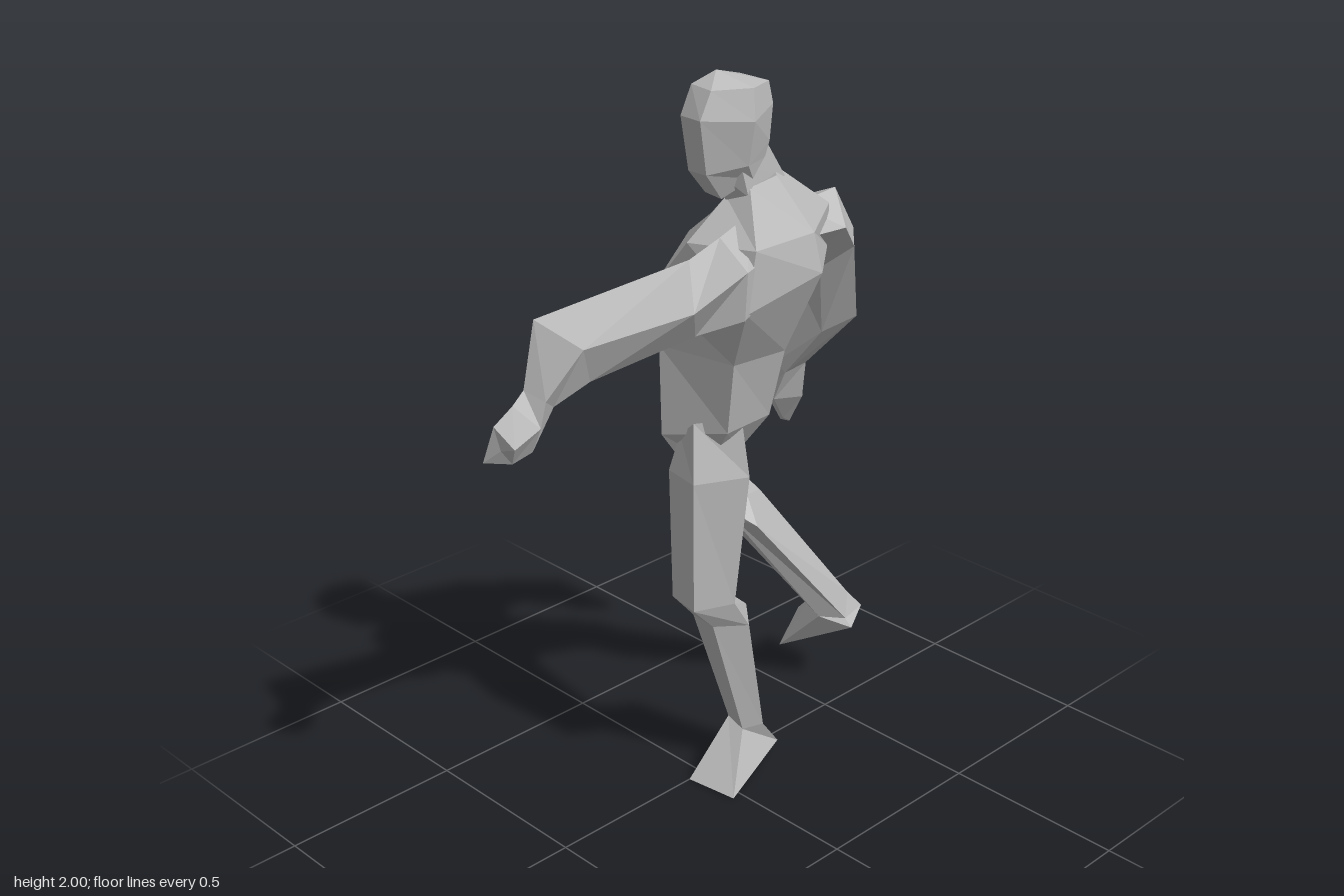
import * as THREE from 'three';

const grey = new THREE.MeshStandardMaterial({ color: 0xb8b8b8, flatShading: true });
grey.name = 'clay grey';

// Skin a stack of matching cross-sections, closed by fans at both ends.
function loft(name, rings, apex) {
  const tris = [];
  const n = rings[0].length;
  const centre = (r) => [0, 1, 2].map((k) => r.reduce((s, p) => s + p[k], 0) / n);
  for (let i = 0; i < rings.length - 1; i++) {
    for (let j = 0; j < n; j++) {
      const k = (j + 1) % n;
      const [a, b, c, d] = [rings[i][j], rings[i][k], rings[i + 1][k], rings[i + 1][j]];
      tris.push([a, b, c], [a, c, d]);
    }
  }
  const first = rings[0], last = rings[rings.length - 1];
  const start = centre(first), end = apex || centre(last);
  for (let j = 0; j < n; j++) {
    const k = (j + 1) % n;
    tris.push([first[k], first[j], start], [last[j], last[k], end]);
  }
  // Turn the faces outward if the sections run the other way round
  const v = (p) => new THREE.Vector3(p[0] - start[0], p[1] - start[1], p[2] - start[2]);
  const volume = tris.reduce((s, [a, b, c]) => s + v(a).dot(v(b).cross(v(c))), 0);
  if (volume < 0) tris.forEach((t) => t.reverse());

  const geometry = new THREE.BufferGeometry();
  geometry.setAttribute('position', new THREE.Float32BufferAttribute(tris.flat(2), 3));
  geometry.computeVertexNormals();
  const mesh = new THREE.Mesh(geometry, grey);
  mesh.name = name;
  return mesh;
}

export function createModel() {
  const model = new THREE.Group();
  model.name = 'walkingFigure';

  // Torso: left, front left, front right, right, back right, back left
  model.add(loft('torso', [
    [[.05, .97, .02], [-.01, .96, .06], [-.08, .96, -.02], [-.08, .97, -.1], [-.02, .96, -.12], [.05, .97, -.08]],
    [[.13, 1.08, .04], [-.03, 1.05, .115], [-.185, 1.09, -.08], [-.15, 1.08, -.2], [-.02, 1.08, -.23], [.12, 1.08, -.12]],
    [[.17, 1.28, .06], [-.02, 1.3, .13], [-.155, 1.3, -.085], [-.12, 1.3, -.19], [.02, 1.3, -.235], [.17, 1.27, -.12]],
    [[.28, 1.46, .13], [-.01, 1.46, .16], [-.13, 1.52, -.08], [-.05, 1.5, -.27], [.15, 1.5, -.29], [.28, 1.5, -.13]],
    [[.28, 1.61, .1], [.1, 1.6, .15], [-.02, 1.6, -.05], [.03, 1.63, -.27], [.17, 1.62, -.27], [.26, 1.6, -.12]],
    [[.17, 1.72, .01], [.11, 1.69, .03], [.06, 1.68, -.04], [.06, 1.7, -.13], [.12, 1.74, -.12], [.18, 1.735, -.07]],
  ]));

  model.add(loft('neck', [
    [[.175, 1.7, .02], [.115, 1.67, .03], [.055, 1.68, -.04], [.075, 1.71, -.13], [.16, 1.72, -.12]],
    [[.17, 1.78, .04], [.115, 1.76, .07], [.06, 1.77, .02], [.075, 1.83, -.05], [.155, 1.83, -.05]],
  ]));

  // Head: front left, front right, right, back right, back left, left
  model.add(loft('head', [
    [[.13, 1.695, .065], [.075, 1.7, .065], [.06, 1.73, 0], [.08, 1.78, -.05], [.16, 1.78, -.05], [.17, 1.74, 0]],
    [[.135, 1.765, .12], [.075, 1.765, .12], [.03, 1.775, .03], [.07, 1.82, -.06], [.165, 1.82, -.06], [.185, 1.78, .03]],
    [[.14, 1.9, .145], [.07, 1.9, .14], [.02, 1.91, .04], [.055, 1.91, -.06], [.17, 1.91, -.065], [.205, 1.89, .03]],
    [[.14, 1.965, .11], [.075, 1.97, .11], [.04, 1.965, .03], [.07, 1.965, -.055], [.165, 1.965, -.055], [.19, 1.965, .02]],
  ], [.106, 2, .06]));

  // Left arm reaches forward: top, outer, bottom, inner
  const leftWrist = [[0, 1.32, .58], [.055, 1.3, .56], [.035, 1.27, .52], [-.025, 1.29, .54]];
  model.add(loft('leftArm', [
    [[.18, 1.66, .02], [.25, 1.58, 0], [.25, 1.47, .03], [.09, 1.48, .05]],
    [[.19, 1.63, .13], [.29, 1.57, .137], [.285, 1.45, .14], [.07, 1.48, .14]],
    [[.17, 1.59, .21], [.245, 1.49, .266], [.2, 1.41, .22], [.1, 1.48, .237]],
    [[-.01, 1.48, .535], [.1, 1.42, .48], [.08, 1.325, .445], [-.03, 1.38, .5]],
    leftWrist,
  ]));
  model.add(loft('leftHand', [
    leftWrist,
    [[0, 1.29, .615], [.058, 1.24, .58], [.025, 1.17, .58], [-.058, 1.2, .594]],
    [[-.01, 1.25, .665], [.04, 1.2, .645], [.01, 1.15, .63], [-.043, 1.15, .675]],
  ]));

  // Right arm swings back: front, outer, back, inner
  const rightWrist = [[-.13, 1.07, -.41], [-.12, 1.1, -.46], [-.07, 1.07, -.46], [-.09, 1.05, -.4]];
  model.add(loft('rightArm', [
    [[.02, 1.56, -.16], [.12, 1.62, -.2], [.22, 1.57, -.18], [.13, 1.49, -.19]],
    [[-.01, 1.58, -.28], [.13, 1.637, -.335], [.21, 1.56, -.29], [.13, 1.48, -.27]],
    [[-.02, 1.46, -.37], [.12, 1.51, -.42], [.165, 1.48, -.375], [.1, 1.42, -.32]],
    [[-.08, 1.26, -.46], [-.02, 1.3, -.5], [.067, 1.23, -.505], [.03, 1.2, -.41]],
    rightWrist,
  ]));
  model.add(loft('rightHand', [
    rightWrist,
    [[-.195, .96, -.43], [-.12, .945, -.505], [-.09, .96, -.47], [-.13, .96, -.4]],
    [[-.165, .87, -.465], [-.15, .865, -.48], [-.14, .87, -.475], [-.15, .88, -.46]],
  ]));

  // Standing left leg: front inner, front outer, back outer, back inner
  const leftAnkle = [[-.01, .13, -.11], [.055, .12, -.1], [.075, .12, -.16], [.015, .13, -.18]];
  model.add(loft('leftLeg', [
    [[0, 1.05, .08], [.06, 1.1, .09], [.12, 1.1, -.02], [.04, 1.06, -.09]],
    [[-.02, .95, .1], [.09, .95, .12], [.14, .94, -.03], [.02, .96, -.1]],
    [[-.02, .58, .09], [.08, .58, .11], [.11, .57, -.01], [.02, .58, -.035]],
    [[-.015, .5, .02], [.07, .5, .03], [.105, .48, -.07], [.03, .49, -.135]],
    leftAnkle,
  ]));
  model.add(loft('leftFoot', [
    leftAnkle,
    [[0, 0, .05], [.15, 0, .03], [.07, .035, -.225], [-.025, .045, -.23]],
  ]));

  // Trailing right leg, in the same order, with the knee bent over two sections
  const rightAnkle = [[-.13, .28, -.57], [-.07, .25, -.54], [-.02, .24, -.6], [-.05, .3, -.64]];
  model.add(loft('rightLeg', [
    [[-.185, 1.08, -.09], [-.04, .97, -.03], [-.03, .98, -.15], [-.13, 1.06, -.24]],
    [[-.29, .67, -.26], [-.175, .67, -.25], [-.15, .69, -.32], [-.23, .71, -.38]],
    [[-.25, .62, -.3], [-.16, .64, -.265], [-.09, .62, -.3], [-.18, .67, -.4]],
    rightAnkle,
  ]));
  model.add(loft('rightFoot', [
    rightAnkle,
    [[-.27, .15, -.67], [-.22, .095, -.535], [0, .215, -.605], [-.03, .25, -.68]],
  ]));

  return model;
}
